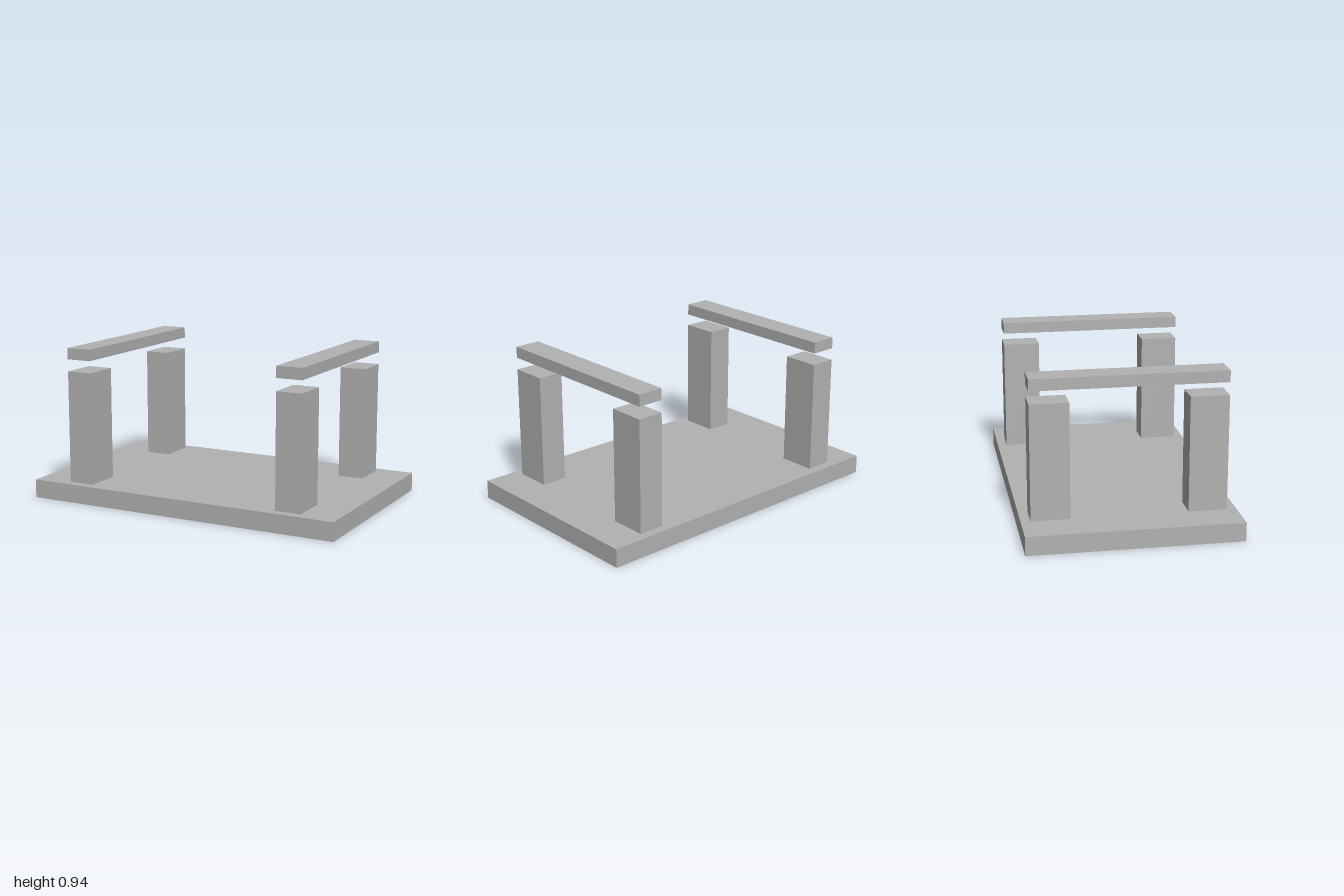
import * as THREE from 'three';

export function createModel() {
  const model = new THREE.Group();
  const grey = new THREE.MeshStandardMaterial({ color: 0xb2b2b2 });
  grey.name = 'plain grey';

  // Box placed by its bottom height and its centre in x and z
  function block(name, width, height, depth, x, bottom, z) {
    const mesh = new THREE.Mesh(new THREE.BoxGeometry(width, height, depth), grey);
    mesh.name = name;
    mesh.position.set(x, bottom + height / 2, z);
    model.add(mesh);
  }

  const baseHeight = 0.113;
  const pillarTop = 0.8;
  const pillarWidth = 0.16;
  const pillarDepth = 0.227;
  const beamLength = 1.14;

  // Base slab
  block('base', 2, baseHeight, 1.253, 0, 0, 0);

  for (const [side, sx] of [['left', 1], ['right', -1]]) {
    const x = sx * 0.697;
    // Pillars at both ends of each side, flush with the beam ends
    for (const [end, sz] of [['Front', 1], ['Back', -1]]) {
      const z = sz * (beamLength - pillarDepth) / 2;
      block(`${side}${end}Pillar`, pillarWidth, pillarTop - baseHeight, pillarDepth, x, baseHeight, z);
    }
    // Beam hovering above the pillars
    block(`${side}Beam`, pillarWidth, 0.069, beamLength, x, 0.874, 0);
  }

  return model;
}
